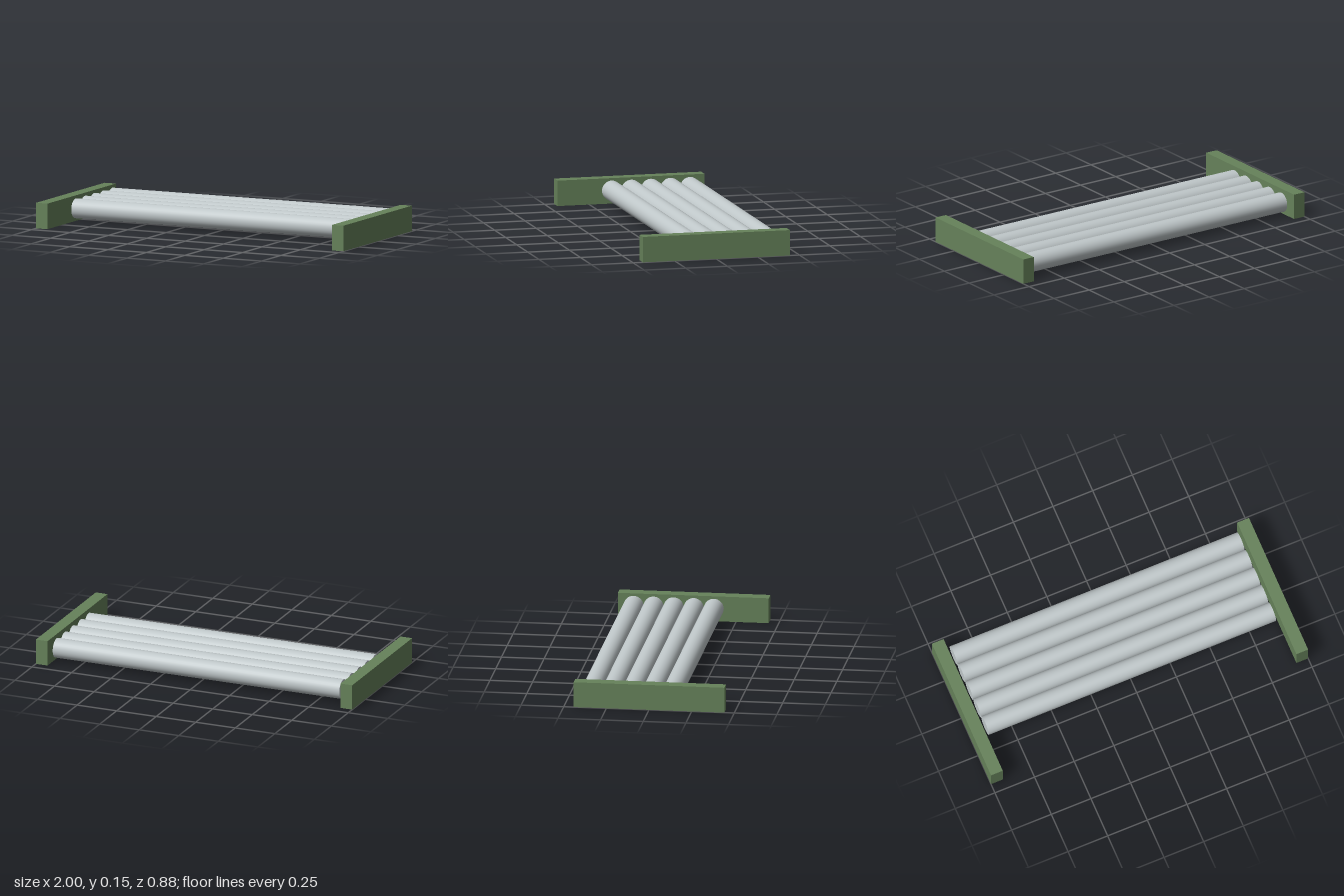
import * as THREE from 'three';

export function createModel() {
  const group = new THREE.Group();
  const green = new THREE.MeshStandardMaterial({ color: 0x66825a });
  const steel = new THREE.MeshStandardMaterial({ color: 0xc0c8ca });

  // Side rails
  const railGeometry = new THREE.BoxGeometry(0.074, 0.15, 0.884);
  for (const side of [-1, 1]) {
    const rail = new THREE.Mesh(railGeometry, green);
    rail.name = side > 0 ? 'leftRail' : 'rightRail';
    rail.position.set(side * 0.963, 0.075, 0);
    group.add(rail);
  }

  // Rollers, set toward the back of the rails
  const rollerGeometry = new THREE.CylinderGeometry(0.058, 0.058, 1.812, 32);
  rollerGeometry.rotateZ(Math.PI / 2);
  for (let i = 0; i < 5; i++) {
    const roller = new THREE.Mesh(rollerGeometry, steel);
    roller.name = `roller${i + 1}`;
    roller.position.set(0.003, 0.082, -0.348 + i * 0.1177);
    group.add(roller);
  }

  return group;
}
